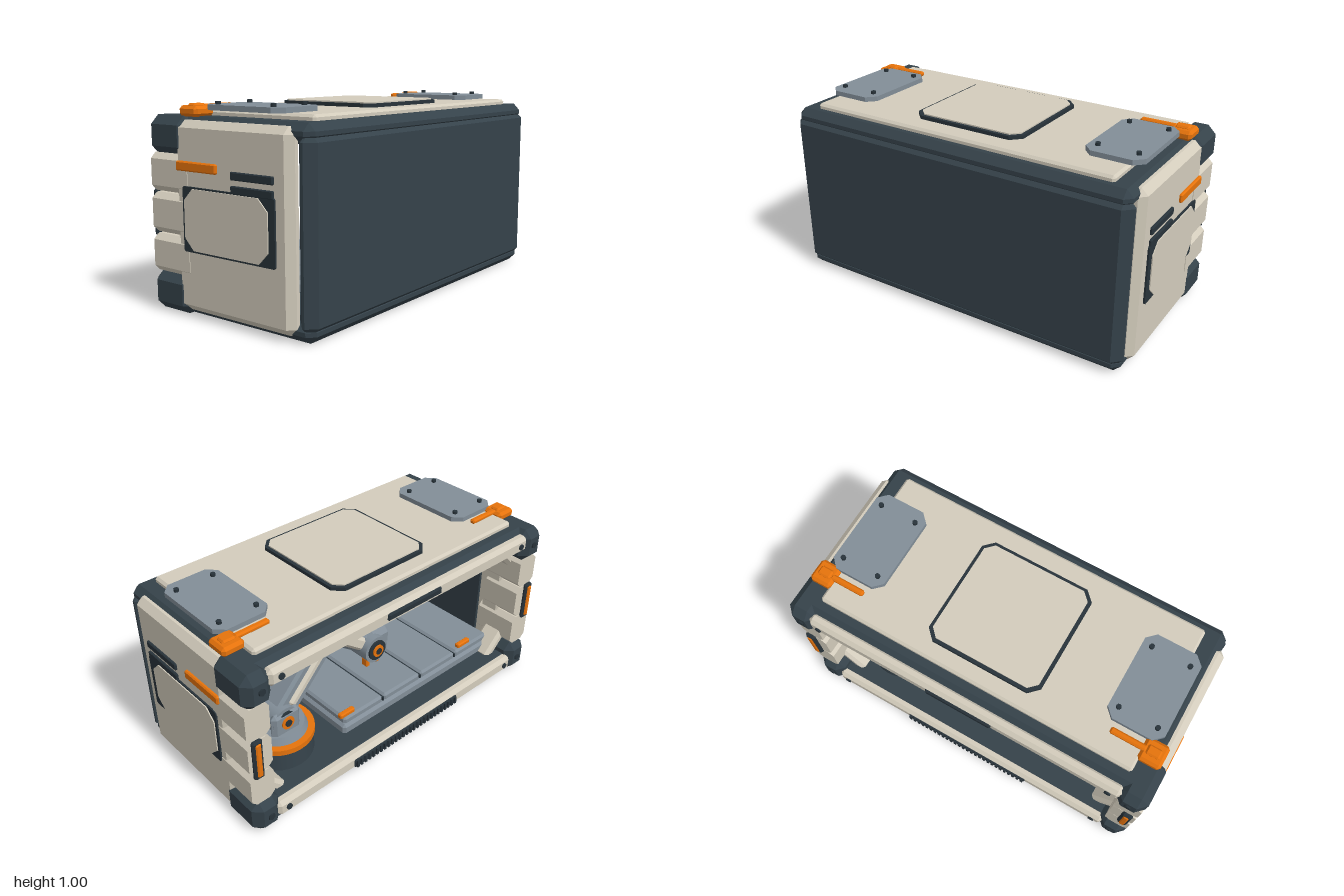
import * as THREE from 'three';
import { ConvexGeometry } from 'three/addons/geometries/ConvexGeometry.js';

const paint = (name, color) => new THREE.MeshStandardMaterial({ name, color });

// Box with every edge cut at an angle
function cutBox(w, h, d, c) {
  c = Math.min(c, w * 0.45, h * 0.45, d * 0.45);
  const pts = [], X = w / 2, Y = h / 2, Z = d / 2;
  for (const i of [-1, 1]) for (const j of [-1, 1]) for (const k of [-1, 1]) pts.push(
    new THREE.Vector3(i * X, j * (Y - c), k * (Z - c)),
    new THREE.Vector3(i * (X - c), j * Y, k * (Z - c)),
    new THREE.Vector3(i * (X - c), j * (Y - c), k * Z));
  return new ConvexGeometry(pts);
}

// Plate with four cut corners, lying in xy and centred on its thickness
function cutPlate(w, h, c, t) {
  const X = w / 2, Y = h / 2;
  const s = new THREE.Shape([
    [X, Y - c], [X - c, Y], [c - X, Y], [-X, Y - c], [-X, c - Y], [c - X, -Y], [X - c, -Y], [X, c - Y],
  ].map(([x, y]) => new THREE.Vector2(x, y)));
  return new THREE.ExtrudeGeometry(s, { depth: t, bevelEnabled: false }).translate(0, 0, -t / 2);
}
const flatPlate = (...a) => cutPlate(...a).rotateX(-Math.PI / 2);
const sidePlate = (...a) => cutPlate(...a).rotateY(Math.PI / 2);
const upright = (r1, r2, h, n = 32) => new THREE.CylinderGeometry(r1, r2, h, n);
const pin = (r, l, n = 20) => upright(r, r, l, n).rotateX(Math.PI / 2);

export function createModel() {
  const cream = paint('cream', 0xd3ccbc), dark = paint('slate', 0x35424a), trim = paint('dark trim', 0x28333a);
  const grey = paint('steel grey', 0x828e98), orange = paint('orange', 0xe6730c);
  const root = new THREE.Group();
  root.name = 'roboticWorkcell';
  const add = (name, geo, mat, x, y, z, parent = root) => {
    const m = new THREE.Mesh(geo, mat);
    m.name = name;
    m.position.set(x, y, z);
    parent.add(m);
    return m;
  };
  // Box given by its limits
  const span = (name, mat, x0, x1, y0, y1, z0, z1, c = 0.01, parent = root) =>
    add(name, cutBox(Math.abs(x1 - x0), y1 - y0, z1 - z0, c), mat, (x0 + x1) / 2, (y0 + y1) / 2, (z0 + z1) / 2, parent);

  // Shell: floor, roof and closed front wall
  span('floorTray', dark, -0.955, 0.955, 0, 0.09, -0.47, 0.487, 0.035);
  span('innerFloor', dark, -0.92, 0.92, 0.05, 0.12, -0.44, 0.41, 0.005);
  span('roofFrame', dark, -0.955, 0.955, 0.84, 0.93, -0.44, 0.487, 0.035);
  span('frontWall', dark, -0.965, 0.965, 0.03, 0.895, 0.4, 0.5, 0.044);
  span('roofPanel', cream, -0.85, 0.85, 0.915, 0.957, -0.365, 0.425, 0.012);
  add('roofHatchFrame', flatPlate(0.615, 0.6, 0.05, 0.02), trim, 0, 0.965, 0.018);
  add('roofHatch', flatPlate(0.58, 0.565, 0.042, 0.009), cream, 0, 0.977, 0.018);

  // Rails across the open back
  span('topRail', cream, -0.86, 0.86, 0.825, 0.915, -0.485, -0.42, 0.02);
  span('bottomRail', cream, -0.86, 0.86, 0.03, 0.118, -0.485, -0.42, 0.02);
  span('topRailBar', trim, -0.18, 0.18, 0.855, 0.895, -0.496, -0.47, 0.008);
  span('ventBase', trim, -0.38, 0.38, 0.045, 0.095, -0.492, -0.47, 0.006);
  for (let i = 0; i < 28; i++)
    add('ventTooth', new THREE.BoxGeometry(0.014, 0.042, 0.012), trim, -0.3645 + i * 0.027, 0.07, -0.494);

  for (const s of [1, -1]) {
    // Side wall with three interlocking fingers at the back
    span('sidePanel', cream, s * 0.9, s * 0.985, 0.025, 0.913, -0.308, 0.405, 0.033);
    span('sideFingerRoot', cream, s * 0.87, s * 0.95, 0.15, 0.78, -0.335, -0.22, 0.01);
    for (const [y0, y1, z1] of [[0.185, 0.368, -0.215], [0.375, 0.567, -0.245], [0.573, 0.755, -0.215]]) {
      const finger = cutPlate(0.13, y1 - y0, 0.028, z1 + 0.462);
      add('sideFinger', finger, cream, s * 0.923, (y0 + y1) / 2, (z1 - 0.462) / 2);
    }

    // Side trim
    add('sideHatchFrame', sidePlate(0.565, 0.302, 0.008, 0.014), trim, s * 0.987, 0.465, 0.042);
    add('sideHatch', sidePlate(0.515, 0.285, 0.055, 0.009), cream, s * 0.995, 0.466, 0.031);
    for (const y of [0.627, 0.688])
      span('sideSlot', trim, s * 0.975, s * 0.997, y - 0.018, y + 0.018, 0.068, 0.317, 0.004);
    span('sideMarker', orange, s * 0.975, s * 1.0, 0.685, 0.73, -0.278, -0.02, 0.006);

    // Back corner guards, with bolts
    for (const [y0, y1, yb] of [[0.745, 0.93, 0.845], [0, 0.187, 0.09]]) {
      span('cornerGuard', dark, s * 0.835, s * 0.99, y0, y1, -0.49, -0.23, 0.042);
      add('cornerBolt', pin(0.018, 0.014, 6), trim, s * 0.908, yb, -0.491);
    }
    for (const y of [0.87, 0.076]) add('railBolt', pin(0.016, 0.012, 12), trim, s * 0.8, y, -0.487);
    span('jambHandle', trim, s * 0.915, s * 0.97, 0.352, 0.58, -0.482, -0.455, 0.01);
    span('jambHandleStripe', orange, s * 0.928, s * 0.957, 0.37, 0.565, -0.488, -0.465, 0.006);

    // Roof plate with four bolts, and latch
    add('roofPlate', flatPlate(0.295, 0.475, 0.045, 0.025), grey, s * 0.76, 0.97, 0.04);
    for (const x of [0.66, 0.86]) for (const z of [-0.135, 0.205]) {
      add('roofPlateBolt', upright(0.013, 0.013, 0.018, 8), trim, s * x, 0.988, z);
    }
    span('latchBlock', orange, s * 0.838, s * 0.955, 0.927, 0.976, -0.3, -0.18, 0.014);
    span('latchCap', orange, s * 0.86, s * 0.93, 0.965, 0.986, -0.265, -0.215, 0.008);
    span('latchLever', orange, s * 0.675, s * 0.86, 0.955, 0.981, -0.258, -0.227, 0.008);

    // Slanted braces inside the corners
    for (const [y, t] of [[0.17, 1], [0.76, -1]])
      add('cornerBrace', cutBox(0.22, 0.06, 0.13, 0.018), cream, s * 0.83, y, -0.33).rotation.z = s * t * 0.8;
    span('innerWallPanel', dark, s * 0.89, s * 0.905, 0.1, 0.72, -0.18, 0.36, 0.006);
  }
  span('controlPanel', grey, -0.34, -0.14, 0.28, 0.4, 0.37, 0.405, 0.01);

  // Work table in four sections
  span('tableBase', grey, -0.84, 0.31, 0.1, 0.17, -0.33, 0.18, 0.015);
  for (let i = 0; i < 4; i++) {
    const x = -0.83 + i * 0.283;
    span('tableSection', grey, x, x + 0.275, 0.15, 0.205, -0.315, 0.165, 0.012);
    if (i) span('tableGroove', trim, x - 0.009, x + 0.001, 0.15, 0.192, -0.315, 0.165, 0.001);
  }
  for (const x of [0.26, -0.64]) span('tableClamp', orange, x - 0.05, x + 0.05, 0.2, 0.228, -0.305, -0.275, 0.006);

  // Robot arm: base and turntable
  const arm = new THREE.Group();
  arm.name = 'robotArm';
  arm.position.set(0, 0, -0.16);
  root.add(arm);
  add('armBase', upright(0.175, 0.185, 0.12), dark, 0.61, 0.175, 0, arm);
  add('armBaseRing', upright(0.19, 0.19, 0.03), orange, 0.61, 0.24, 0, arm);
  add('turntable', upright(0.14, 0.16, 0.05), grey, 0.61, 0.27, 0, arm);
  for (const z of [-0.085, 0.085])
    add('shoulderCheek', cutBox(0.17, 0.16, 0.045, 0.03), grey, 0.62, 0.335, z, arm);

  // Arm links and joints
  const shoulder = [0.62, 0.35], elbow = [0.305, 0.69], wrist = [0.02, 0.48];
  const link = (name, mat, [ax, ay], [bx, by], w, d) => {
    const m = add(name, cutBox(Math.hypot(bx - ax, by - ay), w, d, 0.015), mat, (ax + bx) / 2, (ay + by) / 2, 0, arm);
    m.rotation.z = Math.atan2(by - ay, bx - ax);
  };
  link('lowerArm', grey, shoulder, elbow, 0.135, 0.14);
  link('lowerArmCover', cream, [0.57, 0.404], [0.355, 0.636], 0.05, 0.17);
  link('forearm', grey, elbow, wrist, 0.1, 0.11);
  link('forearmCover', cream, [0.25, 0.65], [0.08, 0.524], 0.07, 0.15);
  for (const [[x, y], r] of [[shoulder, 0.08], [elbow, 0.078], [wrist, 0.075]]) {
    add('joint', pin(r, 0.19, 24), grey, x, y, 0, arm);
    add('jointCollar', pin(r * 0.75, 0.21, 24), trim, x, y, 0, arm);
    add('jointHub', pin(r * 0.45, 0.226, 20), orange, x, y, 0, arm);
    add('jointBolt', pin(r * 0.25, 0.236, 8), trim, x, y, 0, arm);
  }

  // Wrist housing and gripper
  span('wristHousing', grey, -0.11, 0.04, 0.45, 0.565, -0.075, 0.075, 0.03, arm);
  add('toolNeck', upright(0.065, 0.05, 0.08, 20), grey, -0.03, 0.43, 0, arm);
  add('toolCollar', upright(0.045, 0.045, 0.02, 20), trim, -0.03, 0.385, 0, arm);
  span('gripperPalm', orange, -0.08, 0.02, 0.36, 0.38, -0.03, 0.03, 0.006, arm);
  for (const x of [-0.065, 0.005])
    span('gripperFinger', orange, x - 0.013, x + 0.013, 0.315, 0.368, -0.022, 0.022, 0.006, arm);

  // Hose looping behind the lower arm
  const hose = new THREE.CatmullRomCurve3([[0.68, 0.27, 0.07], [0.7, 0.46, 0.11], [0.56, 0.6, 0.11], [0.42, 0.68, 0.1], [0.31, 0.7, 0.08]]
    .map(p => new THREE.Vector3(...p)));
  add('armHose', new THREE.TubeGeometry(hose, 24, 0.014, 8), trim, 0, 0, 0, arm);

  return root;
}
